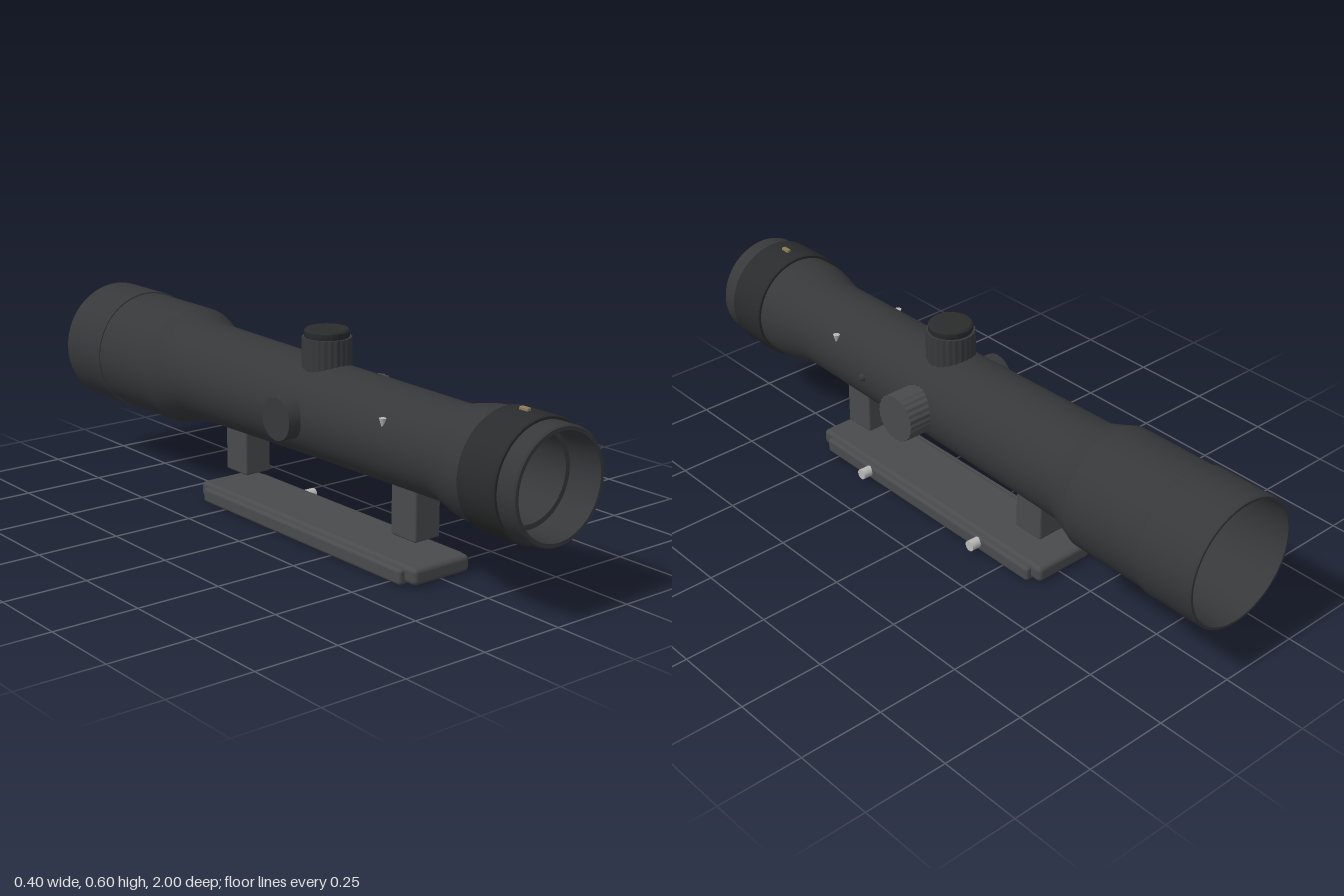
import * as THREE from 'three';
import { toCreasedNormals } from 'three/addons/utils/BufferGeometryUtils.js';
import { RoundedBoxGeometry } from 'three/addons/geometries/RoundedBoxGeometry.js';

const AXIS_X = -0.012, AXIS_Y = 0.367, TURRET_Z = 0.097;

const paint = (color) => new THREE.MeshStandardMaterial({ color });

export function createModel() {
  const model = new THREE.Group();
  const body = paint(0x36383a), dark = paint(0x2a2b2c), mount = paint(0x484a4c);
  const steel = paint(0xb8b8b8), tan = paint(0x8a7858);

  const add = (name, geometry, material, x = 0, y = 0, z = 0, parent = model) => {
    const mesh = new THREE.Mesh(geometry, material);
    mesh.name = name;
    mesh.position.set(x, y, z);
    parent.add(mesh);
    return mesh;
  };

  // Turned part along z from [radius, z] pairs
  const turned = (points, segments = 72) => {
    const g = new THREE.LatheGeometry(points.map(([r, z]) => new THREE.Vector2(r, z)), segments);
    g.rotateX(Math.PI / 2);
    return toCreasedNormals(g, 0.35);
  };

  // Scope tube: outer wall from back to front, then bore from front to back
  add('scopeTube', turned([
    [0.182, -0.82], [0.18, -0.55], [0.172, -0.53], [0.148, -0.46], [0.138, 0.1], [0.132, 0.645],
    [0.152, 0.73], [0.156, 0.76], [0.156, 0.995], [0.152, 1],
    [0.142, 1], [0.138, 0.96], [0.136, 0.9], [0.122, 0.9], [0.118, 0.76], [0.096, 0.645],
    [0.096, -0.42], [0.15, -0.54], [0.17, -0.82],
  ]), body, AXIS_X, AXIS_Y);

  add('objectiveBell', turned([
    [0.17, -0.8], [0.178, -1], [0.185, -1], [0.187, -0.996], [0.187, -0.814], [0.185, -0.81], [0.17, -0.81],
  ]), body, AXIS_X, AXIS_Y);

  add('focusRing', turned([
    [0.154, 0.807], [0.163, 0.807], [0.166, 0.811], [0.166, 0.936], [0.163, 0.94], [0.154, 0.94],
  ]), dark, AXIS_X, AXIS_Y);

  add('ringIndexMark', new RoundedBoxGeometry(0.014, 0.012, 0.03, 2, 0.003), tan, AXIS_X + 0.001, 0.535, 0.87);

  // Fluted drum standing on y = 0
  const drum = (radius, height, depth) => {
    const pts = [];
    for (let i = 0; i < 144; i++) {
      const a = (i / 144) * Math.PI * 2;
      const r = radius - depth * (0.5 - 0.5 * Math.cos(a * 24));
      pts.push(new THREE.Vector2(r * Math.cos(a), r * Math.sin(a)));
    }
    const g = new THREE.ExtrudeGeometry(new THREE.Shape(pts), { depth: height, bevelEnabled: false });
    g.rotateX(-Math.PI / 2);
    return toCreasedNormals(g, 0.6);
  };

  // Elevation turret with cap
  const top = new THREE.Group();
  top.name = 'elevationTurret';
  top.position.set(AXIS_X, AXIS_Y, TURRET_Z);
  add('turretDrum', drum(0.071, 0.1, 0.003), body, 0, 0.11, 0, top);
  add('turretCap', toCreasedNormals(new THREE.LatheGeometry([
    [0.06, 0.205], [0.064, 0.213], [0.064, 0.228], [0.059, 0.233], [0, 0.233],
  ].map(([r, y]) => new THREE.Vector2(r, y)), 48), 0.6), dark, 0, 0, 0, top);
  model.add(top);

  // Side turrets
  const left = add('windageTurret', drum(0.0705, 0.099, 0.003), mount, AXIS_X + 0.11, AXIS_Y, TURRET_Z);
  left.rotation.z = -Math.PI / 2;
  const right = add('sideCap', new THREE.CylinderGeometry(0.061, 0.063, 0.07, 48), body, AXIS_X - 0.141, AXIS_Y, TURRET_Z - 0.005);
  right.rotation.z = Math.PI / 2;

  // Small pins on both flanks of the tube
  for (const side of [-1, 1]) {
    const pin = add('tubePin', new THREE.ConeGeometry(0.01, 0.034, 16), steel, AXIS_X + side * 0.118, 0.428, 0.475);
    pin.rotation.x = Math.PI;
  }
  add('tubeStud', new THREE.SphereGeometry(0.012, 16, 10), body, AXIS_X + 0.134, AXIS_Y, 0.335);

  // Mount posts
  for (const z of [0.475, -0.28])
    add('mountPost', new RoundedBoxGeometry(0.089, 0.165, 0.1, 3, 0.006), mount, -0.0105, 0.18, z);

  // Base plate with clamp rails and bolts
  add('basePlate', new RoundedBoxGeometry(0.197, 0.049, 0.975, 4, 0.014), mount, -0.011, 0.0295, 0.1);
  for (const side of [-1, 1])
    add('clampRail', new RoundedBoxGeometry(0.036, 0.045, 0.9, 4, 0.01), mount, -0.011 + side * 0.098, 0.0225, 0.097);
  for (const z of [0.343, -0.147]) {
    const bolt = add('clampBolt', new THREE.CylinderGeometry(0.016, 0.016, 0.05, 24), steel, 0.11, 0.027, z);
    bolt.rotation.z = Math.PI / 2;
  }

  return model;
}
